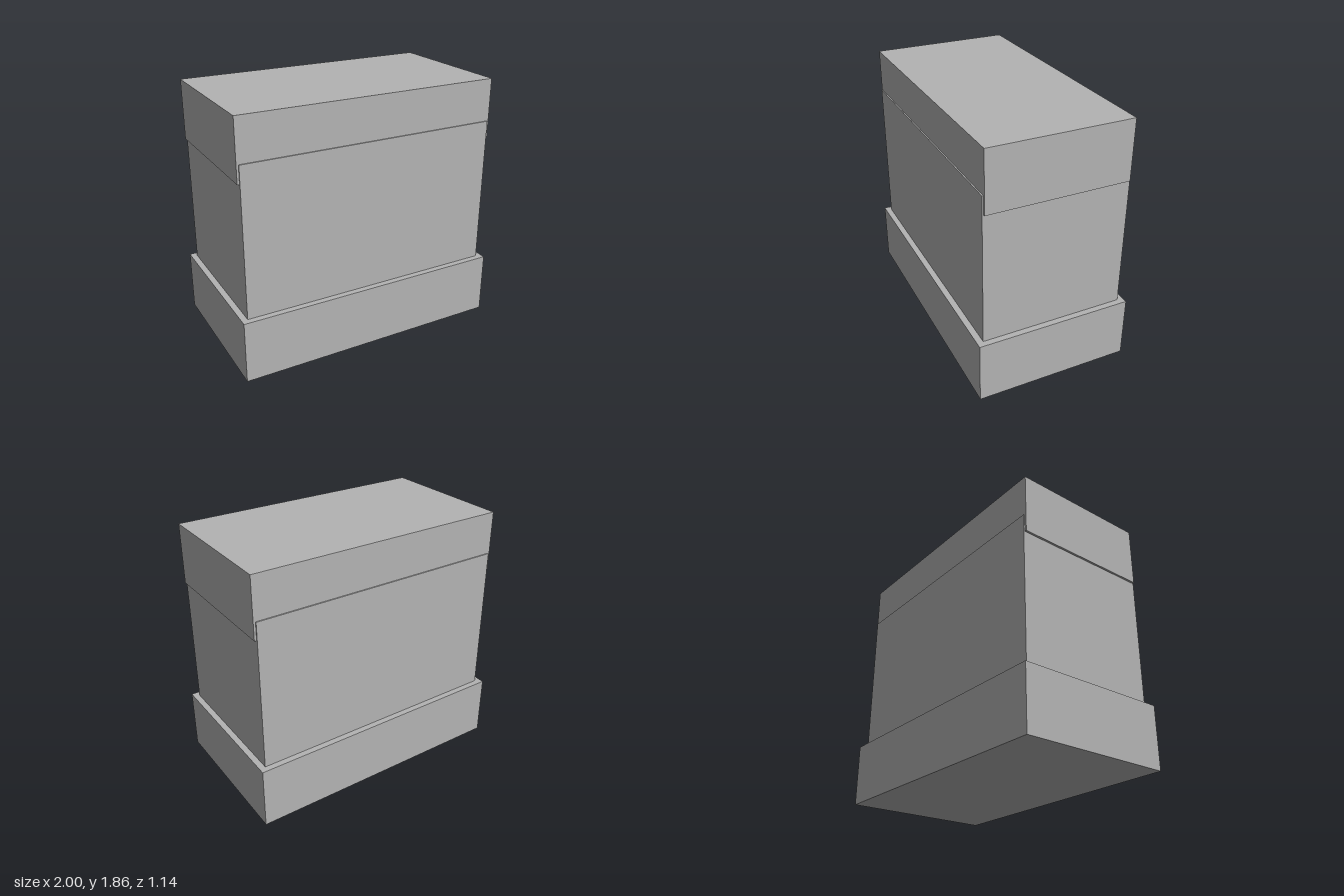
import * as THREE from 'three';

export function createModel() {
  const group = new THREE.Group();
  const stone = new THREE.MeshStandardMaterial({ color: 0xb3b3b3 });
  stone.name = 'plain grey';

  // Box spanning a height range, centred on x and z
  const addBlock = (name, width, depth, bottom, top) => {
    const mesh = new THREE.Mesh(new THREE.BoxGeometry(width, top - bottom, depth), stone);
    mesh.name = name;
    mesh.position.y = (bottom + top) / 2;
    group.add(mesh);
  };

  addBlock('base', 2, 1.137, 0, 0.457);
  // The body rises inside the cap and stands slightly proud of it front and back
  addBlock('body', 1.912, 1.048, 0.457, 1.55);
  addBlock('cap', 1.942, 1.03, 1.42, 1.86);

  return group;
}
